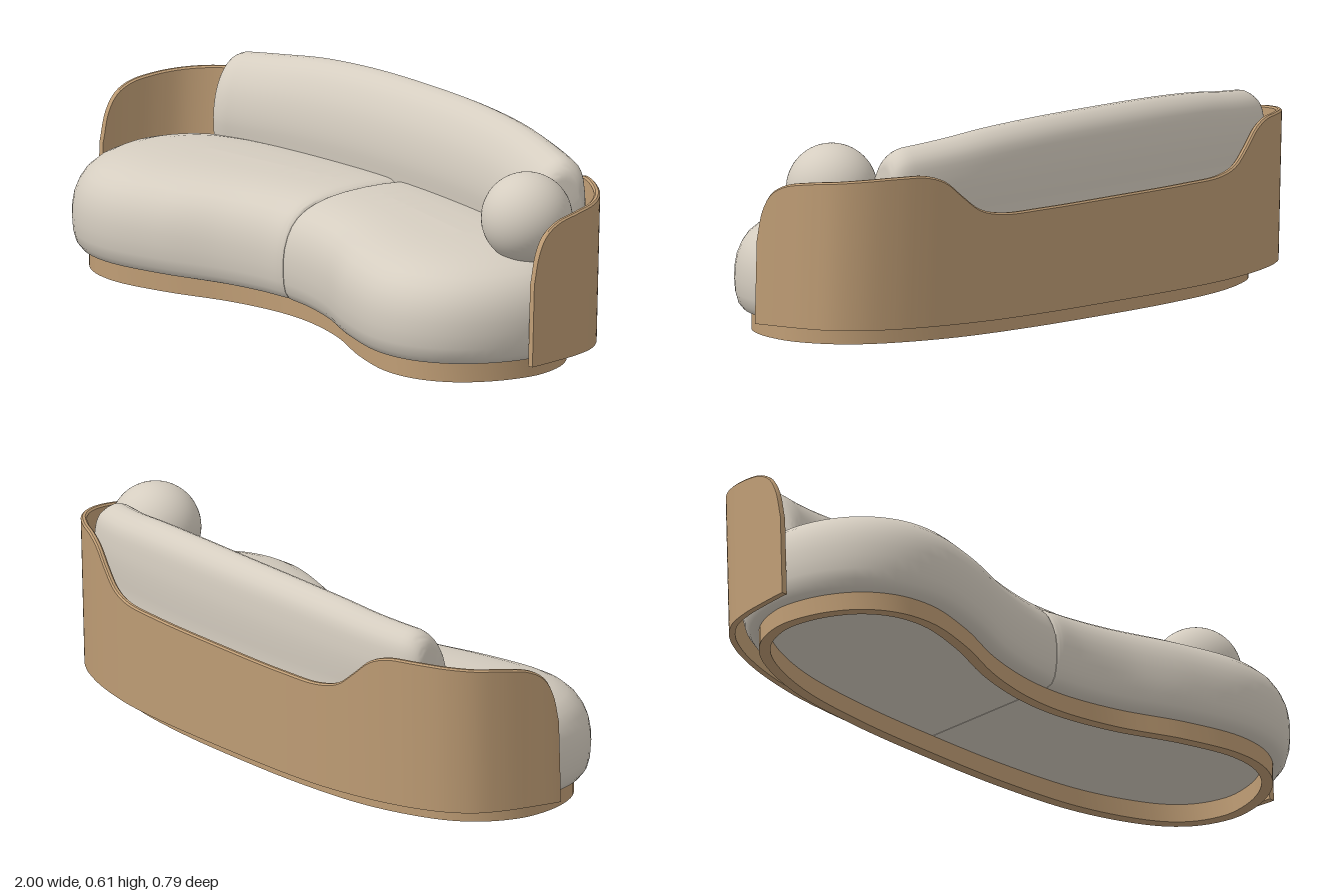
import * as THREE from 'three';
import { toCreasedNormals } from 'three/addons/utils/BufferGeometryUtils.js';

const V = (x, y, z) => new THREE.Vector3(x, y, z);
const curve = (pts, closed = false) => new THREE.CatmullRomCurve3(pts.map(p => V(...p)), closed);
const mirrorX = pts => pts.map(([x, ...rest]) => [-x, ...rest]);

// Skin a list of closed loops, turned so that the faces point outwards
function loft(rings, crease) {
  const n = rings[0].length, all = rings.flat(), tris = [];
  for (let i = 0; i < rings.length - 1; i++) {
    for (let j = 0; j < n; j++) {
      const k = (j + 1) % n, a = i * n + j, b = i * n + k, c = b + n, d = a + n;
      tris.push([a, b, c], [a, c, d]);
    }
  }
  const cross = new THREE.Vector3();
  let volume = 0;
  const solid = tris.filter(([a, b, c]) => {
    volume += all[a].dot(cross.crossVectors(all[b], all[c]));
    const ab = all[b].clone().sub(all[a]), ac = all[c].clone().sub(all[a]);
    return ab.cross(ac).length() > 1e-10;
  });
  if (volume < 0) solid.forEach(t => t.reverse());
  const geo = new THREE.BufferGeometry().setFromPoints(all);
  geo.setIndex(solid.flat());
  return toCreasedNormals(geo, crease);
}

// A loop shrunk to its middle, used to close the end of a loft
function pole(ring) {
  const mid = ring.reduce((sum, p) => sum.add(p), V(0, 0, 0)).divideScalar(ring.length);
  return ring.map(() => mid.clone());
}

// Half of the kidney outline, from front centre round the end to back centre
const HALF = [
  [0, 0, 0.23], [0.1, 0, 0.238], [0.24, 0, 0.272], [0.43, 0, 0.348], [0.62, 0, 0.393],
  [0.76, 0, 0.374], [0.87, 0, 0.304], [0.945, 0, 0.19], [0.977, 0, 0.05], [0.964, 0, -0.04],
  [0.925, 0, -0.125], [0.855, 0, -0.2], [0.74, 0, -0.265], [0.56, 0, -0.323], [0.3, 0, -0.355], [0, 0, -0.363],
];

// One seat cushion: loops shrinking from the outline to a middle line
function seatCushion(side) {
  const path = curve(HALF), N = 90;
  const outline = Array.from({ length: N + 1 }, (_, i) => path.getPointAt(0.5 - 0.5 * Math.cos(Math.PI * i / N)));
  // [inset, height] from the flat bottom to the domed top
  const profile = [[1, 0.055], [0.5, 0.055], [0.13, 0.055], [0.07, 0.061], [0.03, 0.08], [0.008, 0.11], [0, 0.15],
    [0.004, 0.185], [0.02, 0.22], [0.055, 0.252], [0.105, 0.28], [0.18, 0.304], [0.28, 0.322], [0.4, 0.335],
    [0.55, 0.345], [0.75, 0.351], [1, 0.353]];
  const rings = profile.map(([inset, y]) => outline.map(p => {
    const pinch = Math.exp(-p.x / 0.014);
    const sx = Math.min(p.x, 0.6), sz = -0.07 + 0.1 * sx / 0.6;
    const f = Math.min(1, inset + 0.02 * pinch);
    const x = Math.max(0.001, p.x + (sx - p.x) * f);
    return V(side * x, y - 0.04 * pinch * (y - 0.055), p.z + (sz - p.z) * f);
  }));
  return loft(rings, 1);
}

// Hollow plinth following the seat outline
function plinth() {
  const full = curve([...HALF, ...mirrorX(HALF.slice(1, -1)).reverse()], true), N = 160;
  const inset = d => Array.from({ length: N }, (_, i) => {
    const p = full.getPointAt(i / N), t = full.getTangentAt(i / N);
    return new THREE.Vector2(p.x + t.z * d, -(p.z - t.x * d));
  });
  const shape = new THREE.Shape(inset(0.05));
  shape.holes.push(new THREE.Path(inset(0.083)));
  const geo = new THREE.ExtrudeGeometry(shape, { depth: 0.056, bevelEnabled: false });
  return toCreasedNormals(geo.rotateX(-Math.PI / 2), 0.6);
}

// Thin curved back shell; y of each path point is the height of the rim
function backShell() {
  const half = [
    [1, 0.3, 0.107], [0.999, 0.385, 0.09], [0.996, 0.435, 0.062], [0.99, 0.463, 0.015], [0.976, 0.478, -0.07],
    [0.948, 0.485, -0.15], [0.893, 0.491, -0.215], [0.81, 0.495, -0.268], [0.73, 0.493, -0.302], [0.67, 0.473, -0.322],
    [0.61, 0.425, -0.338], [0.55, 0.382, -0.351], [0.47, 0.363, -0.365], [0.3, 0.36, -0.379],
  ];
  const path = curve([...half, [0, 0.36, -0.384], ...mirrorX(half).reverse()]), N = 160;
  const thick = 0.018, bottom = 0.052;
  const rings = Array.from({ length: N + 1 }, (_, i) => {
    const p = path.getPointAt(i / N), t = path.getTangentAt(i / N).setY(0).normalize();
    // [distance inwards, height], leaning slightly backwards
    return [[0, bottom], [0, p.y - 0.005], [0.005, p.y], [thick - 0.005, p.y], [thick, p.y - 0.005], [thick, bottom]]
      .map(([d, y]) => V(p.x + t.z * d, y, p.z - t.x * d - 0.03 * (y - 0.05)));
  });
  return loft([pole(rings[0]), ...rings, pole(rings[N])], 0.6);
}

// Curved back cushion: a rounded section swept along an arc, rounded at both ends
function backCushion() {
  const half = [[0.768, 0.56, -0.176], [0.7, 0.568, -0.203], [0.58, 0.581, -0.234], [0.45, 0.596, -0.256], [0.25, 0.607, -0.274]];
  const path = curve([...half, [0, 0.61, -0.28], ...mirrorX(half).reverse()]);
  // [forwards, height] around the section
  const section = curve([
    [-0.075, 0.28, 0], [-0.088, 0.38, 0], [-0.09, 0.5, 0], [-0.074, 0.575, 0], [-0.025, 0.61, 0], [0.025, 0.588, 0],
    [0.066, 0.53, 0], [0.089, 0.455, 0], [0.093, 0.37, 0], [0.07, 0.28, 0],
  ], true).getSpacedPoints(48).slice(0, -1);
  const N = 70, round = 0.06, length = path.getLength();
  const rings = [];
  for (let i = 0; i <= N; i++) {
    const u = 0.5 - 0.5 * Math.cos(Math.PI * i / N);
    const p = path.getPointAt(u), t = path.getTangentAt(u).setY(0).normalize();
    const e = Math.max(0, 1 - Math.min(u, 1 - u) * length / round);
    const s = 0.68 + 0.32 * Math.sqrt(1 - e * e);
    rings.push(section.map(q => {
      const y = 0.28 + (q.y - 0.28) * (p.y - 0.28) / 0.33;
      return V(p.x + t.z * q.x * s, 0.4 + (y - 0.4) * s, p.z - t.x * q.x * s);
    }));
  }
  return loft([pole(rings[0]), ...rings, pole(rings[N])], 1);
}

export function createModel() {
  const fabric = new THREE.MeshStandardMaterial({ color: 0xd5cdc0 });
  fabric.name = 'cream fabric';
  const wood = new THREE.MeshStandardMaterial({ color: 0xbf9d75 });
  wood.name = 'tan wood';

  const sofa = new THREE.Group();
  sofa.name = 'curvedSofa';
  const add = (name, geometry, material) => {
    const mesh = new THREE.Mesh(geometry, material);
    mesh.name = name;
    sofa.add(mesh);
    return mesh;
  };

  add('plinth', plinth(), wood);
  add('backShell', backShell(), wood);
  add('leftSeatCushion', seatCushion(1), fabric);
  add('rightSeatCushion', seatCushion(-1), fabric);
  add('backCushion', backCushion(), fabric);
  add('ballPillow', new THREE.SphereGeometry(0.132, 48, 32), fabric).position.set(0.813, 0.437, -0.022);
  return sofa;
}
